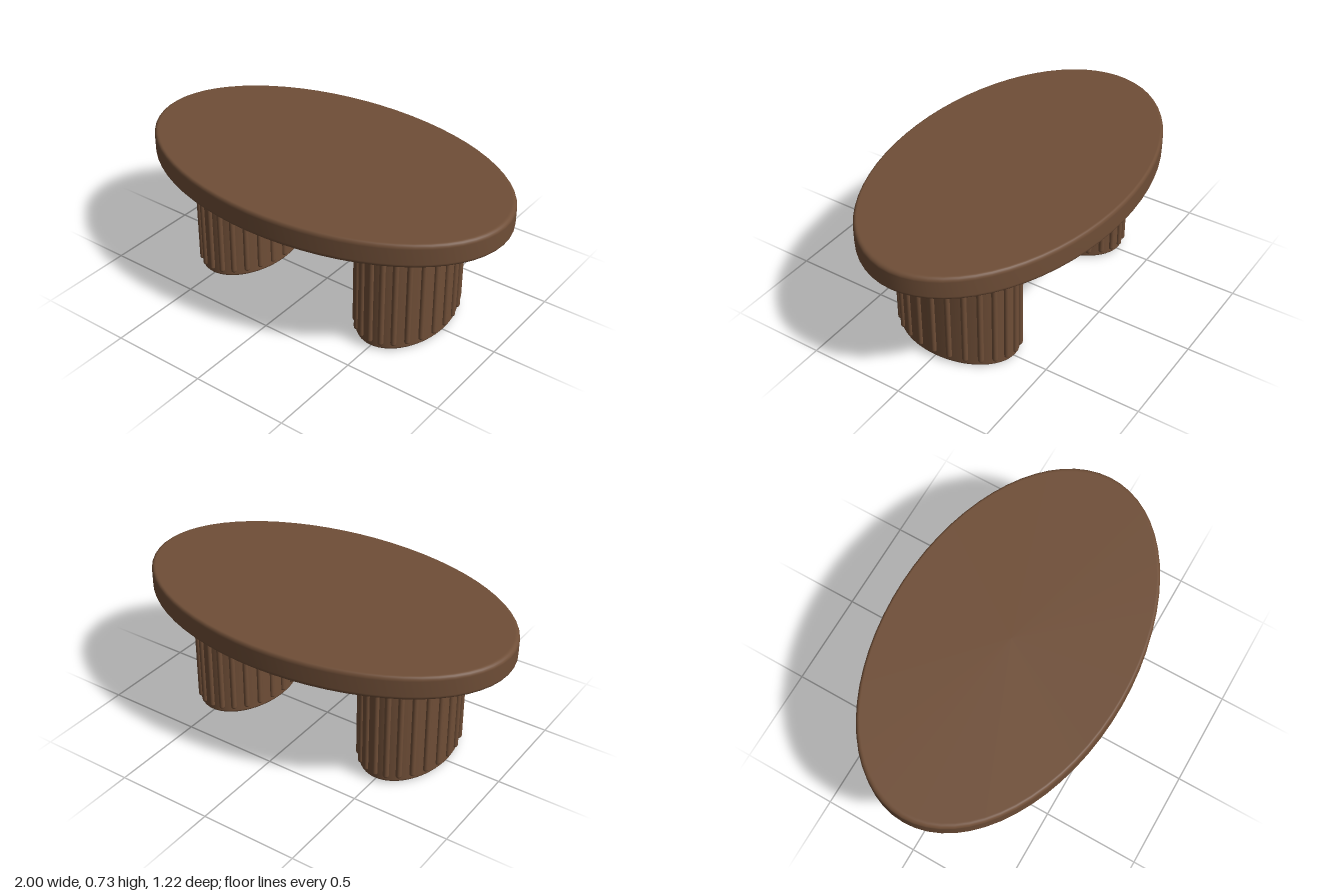
import * as THREE from 'three';

const wood = new THREE.MeshStandardMaterial({ color: 0x6f4e37 });
const brass = new THREE.MeshStandardMaterial({ color: 0xa08a5b });

// Elliptical slab from y0 to y1 with rounded rims
function ovalSlab(name, rx, rz, y0, y1, bevel, material) {
  const steps = 6;
  const points = [new THREE.Vector2(0, y0), new THREE.Vector2(rx - bevel * 1.2, y0)];
  for (const [cy, start] of [[y0 + bevel, -Math.PI / 2], [y1 - bevel, 0]]) {
    for (let i = 0; i <= steps; i++) {
      const a = start + (i / steps) * Math.PI / 2;
      points.push(new THREE.Vector2(rx - bevel + bevel * Math.cos(a), cy + bevel * Math.sin(a)));
    }
  }
  points.push(new THREE.Vector2(rx - bevel * 1.2, y1), new THREE.Vector2(0, y1));
  const geometry = new THREE.LatheGeometry(points, 64);
  geometry.scale(1, 1, rz / rx);
  const mesh = new THREE.Mesh(geometry, material);
  mesh.name = name;
  return mesh;
}

// Oval pedestal wrapped in round-ended vertical ribs
function createLeg(name, x) {
  const rx = 0.215, rz = 0.325, ribRadius = 0.015, ribCount = 24;
  const yLow = 0.03, yHigh = 0.57;
  const leg = new THREE.Group();
  leg.name = name;
  leg.position.x = x;
  leg.add(ovalSlab('legCore', rx, rz, 0, 0.59, 0.018, wood));

  const ribGeometry = new THREE.CapsuleGeometry(ribRadius, yHigh - yLow - 2 * ribRadius, 5, 12);
  for (let i = 0; i < ribCount; i++) {
    const a = (i / ribCount) * Math.PI * 2;
    const rib = new THREE.Mesh(ribGeometry, wood);
    rib.name = 'legRib';
    rib.position.set(rx * Math.cos(a), (yLow + yHigh) / 2, rz * Math.sin(a));
    leg.add(rib);
  }
  return leg;
}

export function createModel() {
  const table = new THREE.Group();
  table.name = 'ovalTable';
  table.add(ovalSlab('tableTop', 1, 0.608, 0.607, 0.73, 0.022, wood));
  // Inset trim plate under the top
  table.add(ovalSlab('trimPlate', 0.863, 0.492, 0.58, 0.609, 0.012, brass));
  table.add(createLeg('leftLeg', 0.5), createLeg('rightLeg', -0.5));
  return table;
}
